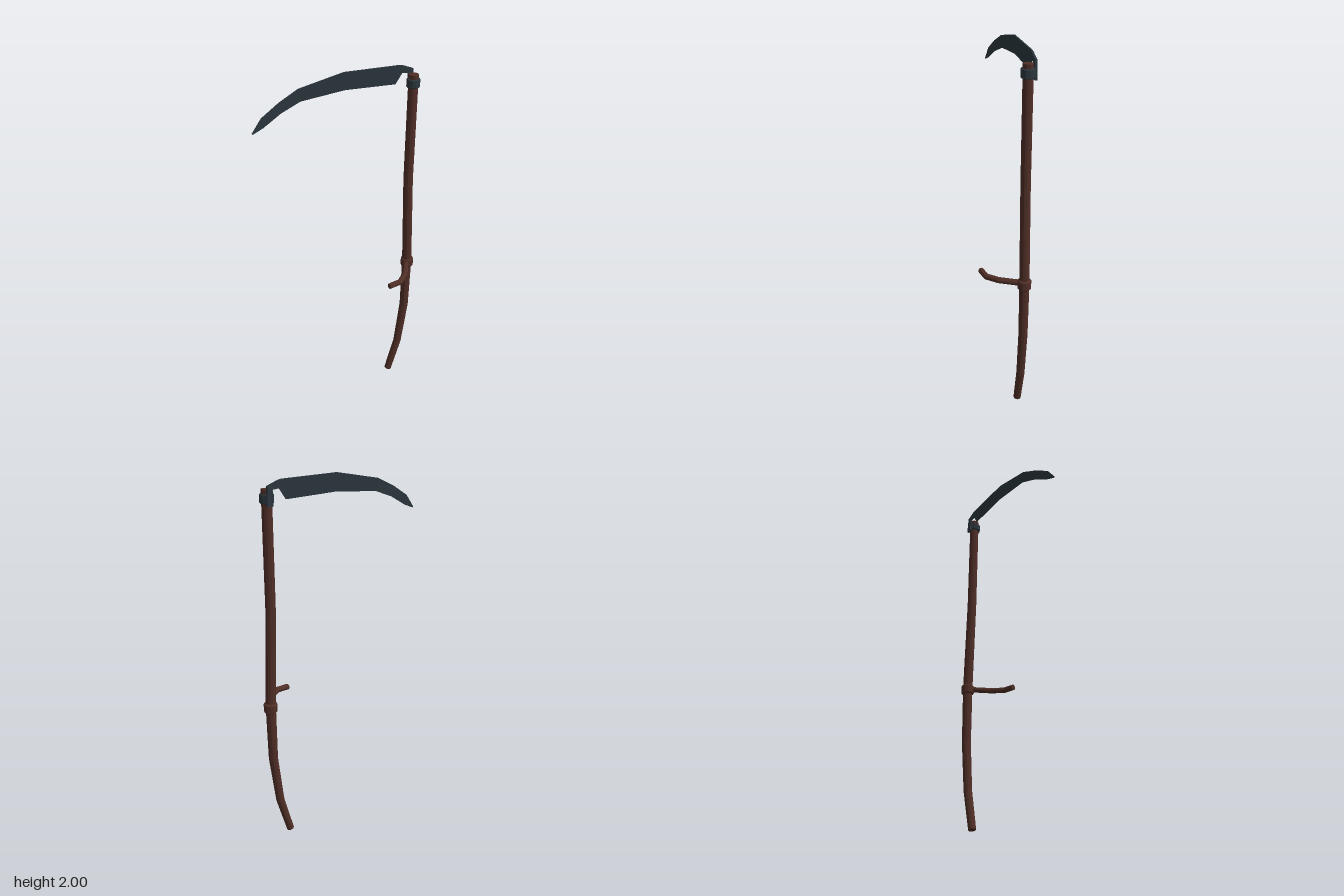
import * as THREE from 'three';

const V = (x, y, z) => new THREE.Vector3(x, y, z);
const wood = new THREE.MeshStandardMaterial({ color: 0x4f2e26, flatShading: true });
const metal = new THREE.MeshStandardMaterial({ color: 0x2b363d, flatShading: true });

// Skin a list of equal-sized rings and cap both ends
function loft(rings) {
  const n = rings[0].length, last = (rings.length - 1) * n, index = [];
  for (let i = 0; i < rings.length - 1; i++) {
    for (let j = 0; j < n; j++) {
      const a = i * n + j, b = i * n + (j + 1) % n;
      index.push(a, b, b + n, a, b + n, a + n);
    }
  }
  for (let j = 1; j < n - 1; j++) index.push(0, j + 1, j, last, last + j, last + j + 1);
  const indexed = new THREE.BufferGeometry().setFromPoints(rings.flat());
  indexed.setIndex(index);
  const g = indexed.toNonIndexed();
  g.computeVertexNormals();
  return g;
}

// Round rod with mitred bends; up is perpendicular to the plane of the path
function rod(path, radii, up, sides) {
  return loft(path.map((p, i) => {
    const before = p.clone().sub(path[Math.max(i - 1, 0)]).normalize();
    const after = path[Math.min(i + 1, path.length - 1)].clone().sub(p).normalize();
    const t = before.clone().add(after).normalize();
    const side = t.clone().cross(up).normalize();
    const miter = 1 / Math.max(t.dot(before), t.dot(after) * (i === 0 ? 1 : 0));
    return Array.from({ length: sides }, (_, k) => {
      const a = k / sides * Math.PI * 2;
      return p.clone().addScaledVector(up, Math.cos(a) * radii[i])
        .addScaledVector(side, Math.sin(a) * radii[i] * miter);
    });
  }));
}

// Chamfered band around the shaft
function band(r, h, c) {
  const y = h / 2;
  const profile = [[0, -y], [r - c, -y], [r, -y + c], [r, y - c], [r - c, y], [0, y]];
  return new THREE.LatheGeometry(profile.map(([x, v]) => new THREE.Vector2(x, v)), 12);
}

export function createModel() {
  const model = new THREE.Group();
  model.name = 'scythe';
  const add = (name, geometry, material, x = 0, y = 0, z = 0) => {
    const mesh = new THREE.Mesh(geometry, material);
    mesh.name = name;
    mesh.position.set(x, y, z);
    model.add(mesh);
    return mesh;
  };

  // Gently bent shaft
  const shaft = [[0.324, 0.005], [0.382, 0.22], [0.415, 0.5], [0.419, 0.82], [0.4, 1.36], [0.4, 1.952]]
    .map(([x, y]) => V(x, y, -0.08));
  add('shaft', rod(shaft, [0.021, 0.023, 0.025, 0.027, 0.026, 0.026], V(0, 0, 1), 12), wood);

  // Side grip curving forward, with its ring
  const grip = [V(0.415, 0.815, -0.08), V(0.35, 0.812, 0.04), V(0.295, 0.809, 0.093), V(0.222, 0.806, 0.105)];
  add('grip', rod(grip, [0.016, 0.016, 0.016, 0.016], V(0, 1, 0), 10), wood);
  add('gripRing', band(0.036, 0.057, 0.008), wood, 0.42, 0.813, -0.08);

  // Metal collar holding the blade
  add('collar', band(0.035, 0.046, 0.004), metal, 0.4, 1.908, -0.08);

  // Blade from tip to heel, then the tang bending down behind the collar:
  // spine x, y, edge x, y, z, spine thickness, edge thickness
  const sections = [
    [-0.457, 1.772, -0.452, 1.767, -0.073, 0.002, 0.001],
    [-0.405, 1.84, -0.395, 1.79, -0.08, 0.003, 0.001],
    [-0.31, 1.9, -0.3, 1.845, -0.092, 0.004, 0.001],
    [-0.205, 1.95, -0.195, 1.885, -0.106, 0.006, 0.001],
    [0.035, 2.0, 0.04, 1.908, -0.111, 0.008, 0.001],
    [0.335, 1.997, 0.315, 1.9, -0.111, 0.008, 0.001],
    [0.352, 1.994, 0.35, 1.955, -0.111, 0.009, 0.006],
    [0.412, 1.971, 0.385, 1.952, -0.112, 0.011, 0.011],
    [0.417, 1.875, 0.384, 1.875, -0.114, 0.013, 0.013],
  ];
  add('blade', loft(sections.map(([sx, sy, ex, ey, z, s, e]) => [
    V(sx, sy, z + s / 2), V(ex, ey, z + e / 2), V(ex, ey, z - e / 2), V(sx, sy, z - s / 2),
  ])), metal);

  return model;
}
